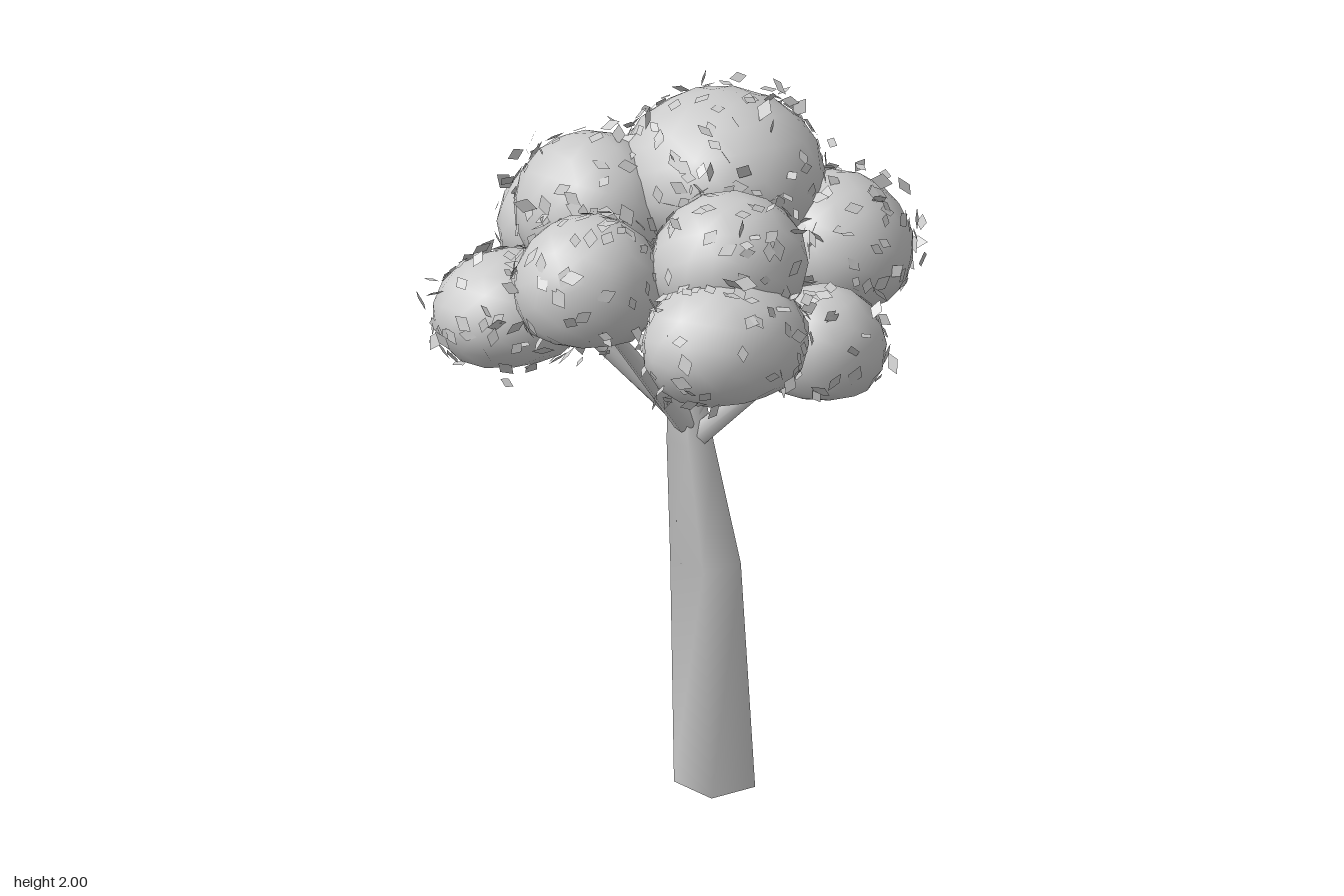
import * as THREE from 'three';
import { mergeVertices } from 'three/addons/utils/BufferGeometryUtils.js';

const V = (x, y, z) => new THREE.Vector3(x, y, z);

// Seeded random numbers in 0..1
function makeRandom(seed) {
  return () => {
    seed = (seed * 1664525 + 1013904223) % 4294967296;
    return seed / 4294967296;
  };
}

// Foliage clumps: centre x, y, z and radii x, y, z
const CLUMPS = [
  [0.14, 1.725, -0.04, 0.27, 0.225, 0.28],
  [-0.05, 1.63, 0.28, 0.21, 0.19, 0.20],
  [-0.15, 1.47, 0.41, 0.23, 0.18, 0.20],
  [0.16, 1.385, 0.41, 0.17, 0.165, 0.17],
  [0.37, 1.53, 0.15, 0.21, 0.20, 0.22],
  [0.36, 1.43, -0.23, 0.18, 0.17, 0.18],
  [-0.37, 1.57, 0.08, 0.20, 0.19, 0.19],
  [-0.42, 1.40, -0.22, 0.21, 0.16, 0.19],
  [-0.17, 1.64, -0.20, 0.20, 0.21, 0.22],
  [-0.03, 1.485, -0.46, 0.23, 0.195, 0.20],
  [0.19, 1.575, -0.34, 0.17, 0.195, 0.18],
];
const FLOOR = -0.65; // clumps are cut flat underneath, as a share of the radius

// Branches: start and end
const BRANCHES = [
  [V(0.03, 1.02, 0.02), V(0.17, 1.34, 0.32)],
  [V(-0.01, 1.06, 0.01), V(-0.26, 1.38, 0.06)],
  [V(-0.01, 1.08, -0.01), V(-0.26, 1.36, -0.15)],
  [V(0, 1.10, -0.02), V(-0.02, 1.46, -0.20)],
  [V(0.01, 1.07, 0), V(0.22, 1.46, 0.06)],
];

// Four-cornered trunk; each ring gives y, back corner x and z, and scale
function makeTrunk(material) {
  const corners = [[0, 0], [0.02, 0.15], [0.16, 0.15], [0.16, 0.03]];
  const rings = [[0, -0.02, -0.03, 1], [0.65, -0.03, -0.033, 0.87],
    [1.0, -0.037, -0.04, 0.58], [1.2, -0.03, -0.04, 0.4]];
  const positions = [];
  const index = [];
  rings.forEach(([y, x, z, s], r) => corners.forEach(([cx, cz], c) => {
    positions.push(x + cx * s, y, z + cz * s);
    if (r === 3) return;
    const a = r * 4 + c;
    const b = r * 4 + (c + 1) % 4;
    index.push(a, b, b + 4, a, b + 4, a + 4);
  }));
  index.push(12, 13, 14, 12, 14, 15);
  const g = new THREE.BufferGeometry();
  g.setAttribute('position', new THREE.Float32BufferAttribute(positions, 3));
  g.setIndex(index);
  g.computeVertexNormals();
  const mesh = new THREE.Mesh(g, material);
  mesh.name = 'trunk';
  return mesh;
}

// Tapered straight limb between two points
function makeBranch([a, b], material) {
  const dir = b.clone().sub(a);
  const mesh = new THREE.Mesh(new THREE.CylinderGeometry(0.018, 0.034, dir.length(), 6), material);
  mesh.position.copy(a).lerp(b, 0.5);
  mesh.quaternion.setFromUnitVectors(V(0, 1, 0), dir.normalize());
  mesh.name = 'branch';
  return mesh;
}

// Smooth low-poly ball with a flattened underside
function makeClump([x, y, z, rx, ry, rz], turn, material) {
  let g = new THREE.IcosahedronGeometry(1.02, 2);
  g.rotateY(turn);
  const p = g.attributes.position;
  for (let i = 0; i < p.count; i++) p.setY(i, Math.max(p.getY(i), FLOOR));
  g.scale(rx, ry, rz);
  g.deleteAttribute('normal');
  g.deleteAttribute('uv');
  g = mergeVertices(g);
  g.computeVertexNormals();
  const mesh = new THREE.Mesh(g, material);
  mesh.position.set(x, y, z);
  mesh.name = 'foliageClump';
  return mesh;
}

// Diamond leaves over every exposed clump surface: most lie flat, some stick out
function makeLeaves(random, material) {
  const positions = [];
  const inside = (p, self) => CLUMPS.some((c, i) => i !== self && p.y > c[1] + FLOOR * c[4] &&
    ((p.x - c[0]) / c[3]) ** 2 + ((p.y - c[1]) / c[4]) ** 2 + ((p.z - c[2]) / c[5]) ** 2 < 0.95);
  CLUMPS.forEach(([x, y, z, rx, ry, rz], self) => {
    const count = Math.round(2300 * rx * rz);
    for (let n = 0; n < count; n++) {
      const h = 1.8 * random() - 0.8;
      const angle = random() * Math.PI * 2;
      const s = Math.sqrt(1 - h * h);
      const d = V(s * Math.cos(angle), Math.max(h, FLOOR), s * Math.sin(angle));
      const centre = V(x + d.x * rx, y + d.y * ry, z + d.z * rz);
      const normal = V(d.x / rx, d.y / ry, d.z / rz).normalize();
      const loose = random() < 0.35;
      const tilt = loose ? 2.4 : 0.5;
      // spin about the surface normal, then tilt away from the surface
      const q = new THREE.Quaternion().setFromUnitVectors(V(0, 0, 1), normal);
      q.multiply(new THREE.Quaternion().setFromEuler(new THREE.Euler(
        (random() - 0.5) * tilt, (random() - 0.5) * tilt, random() * Math.PI * 2)));
      const l = 0.02 + random() * 0.014;
      const w = l * 0.65;
      centre.addScaledVector(normal, 0.004 + random() * (loose ? 0.04 : 0.008));
      if (inside(centre, self)) continue;
      const corners = [V(-l, 0, 0), V(0, -w, 0), V(l, 0, 0), V(0, w, 0)]
        .map((c) => c.applyQuaternion(q).add(centre));
      for (const i of [0, 1, 2, 0, 2, 3]) positions.push(...corners[i].toArray());
    }
  });
  const g = new THREE.BufferGeometry();
  g.setAttribute('position', new THREE.Float32BufferAttribute(positions, 3));
  g.computeVertexNormals();
  const mesh = new THREE.Mesh(g, material);
  mesh.name = 'leaves';
  return mesh;
}

export function createModel() {
  const random = makeRandom(7);
  const grey = new THREE.MeshStandardMaterial({ color: 0xcccccc });
  const thin = new THREE.MeshStandardMaterial({ color: 0xcccccc, side: THREE.DoubleSide });

  const branches = new THREE.Group();
  branches.name = 'branches';
  for (const b of BRANCHES) branches.add(makeBranch(b, grey));

  const crown = new THREE.Group();
  crown.name = 'crown';
  for (const c of CLUMPS) crown.add(makeClump(c, random() * 6, grey));
  crown.add(makeLeaves(random, thin));

  const tree = new THREE.Group();
  tree.name = 'tree';
  tree.add(makeTrunk(thin), branches, crown);
  return tree;
}
